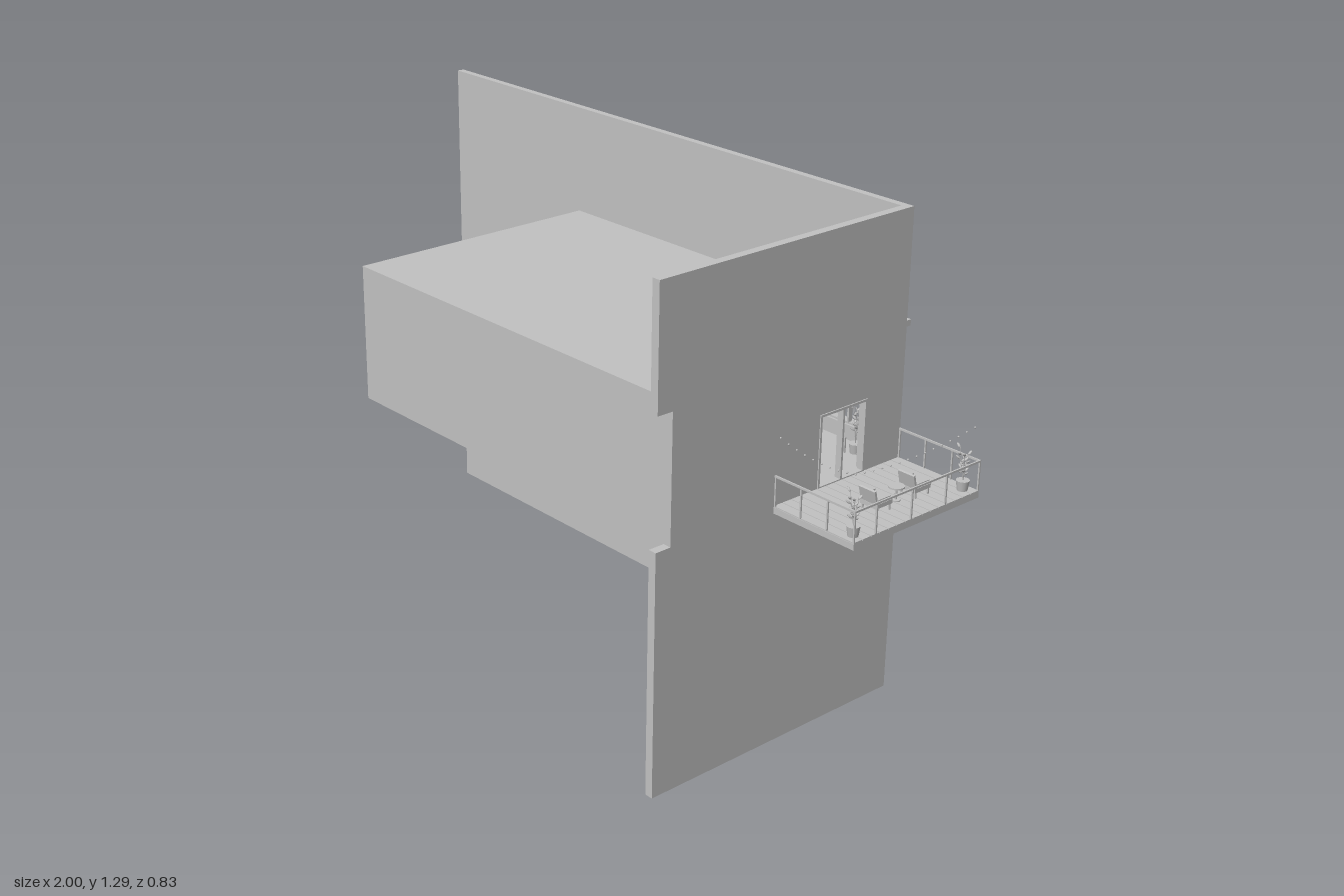
import * as THREE from 'three';

const gray = new THREE.MeshStandardMaterial({ color: 0xc0c0c0 });
gray.name = 'plain gray';

function add(parent, name, geometry, x = 0, y = 0, z = 0) {
  const mesh = new THREE.Mesh(geometry, gray);
  mesh.name = name;
  mesh.position.set(x, y, z);
  parent.add(mesh);
  return mesh;
}

// Box given by its limits on each axis
function block(parent, name, x0, x1, y0, y1, z0, z1) {
  return add(parent, name, new THREE.BoxGeometry(x1 - x0, y1 - y0, z1 - z0),
    (x0 + x1) / 2, (y0 + y1) / 2, (z0 + z1) / 2);
}

function group(parent, name, x = 0, y = 0, z = 0) {
  const g = new THREE.Group();
  g.name = name;
  g.position.set(x, y, z);
  parent.add(g);
  return g;
}

// Flat wall with one rectangular hole [a0, a1, y0, y1]
function wallGeometry(outline, [a0, a1, y0, y1], depth) {
  const shape = new THREE.Shape(outline.map(p => new THREE.Vector2(...p)));
  shape.holes.push(new THREE.Path([[a0, y0], [a0, y1], [a1, y1], [a1, y0]].map(p => new THREE.Vector2(...p))));
  return new THREE.ExtrudeGeometry(shape, { depth, bevelEnabled: false });
}

function chair(parent, x, y, z) {
  const g = group(parent, 'chair', x, y, z);
  block(g, 'chairSeat', -0.025, 0.025, 0.015, 0.026, -0.03, 0.026);
  for (const sx of [-1, 1]) {
    for (const sz of [-0.024, 0.02])
      add(g, 'chairLeg', new THREE.BoxGeometry(0.004, 0.015, 0.004), sx * 0.022, 0.0075, sz);
    add(g, 'chairArm', new THREE.BoxGeometry(0.004, 0.004, 0.045), sx * 0.024, 0.036, 0);
  }
  const back = add(g, 'chairBack', new THREE.BoxGeometry(0.05, 0.042, 0.006), 0, 0.042, 0.026);
  back.rotation.x = 0.25;
}

function plant(parent, x, y, z, height = 0.11) {
  const g = group(parent, 'pottedPlant', x, y, z);
  add(g, 'pot', new THREE.CylinderGeometry(0.017, 0.013, 0.026, 12), 0, 0.013, 0);
  for (let i = 0; i < 5; i++) {
    const a = i * 2.4, r = 0.006 + 0.003 * i;
    const top = new THREE.Vector3(Math.cos(a) * r, height * (0.7 + 0.07 * i), Math.sin(a) * r);
    const path = new THREE.LineCurve3(new THREE.Vector3(0, 0.024, 0), top);
    add(g, 'stem', new THREE.TubeGeometry(path, 1, 0.001, 4));
    for (let j = 0; j < 4; j++) {
      const p = path.getPoint(0.4 + j * 0.2);
      const b = a + j * 2.1;
      const leaf = add(g, 'leaf', new THREE.SphereGeometry(1, 6, 4),
        p.x + Math.cos(b) * 0.006, p.y, p.z + Math.sin(b) * 0.006);
      leaf.scale.set(0.008, 0.0025, 0.004);
      leaf.rotation.set(0, -b, 0.7);
    }
  }
}

function roundTable(parent, x, y, z, radius, height) {
  const g = group(parent, 'roundTable', x, y, z);
  add(g, 'tableTop', new THREE.CylinderGeometry(radius, radius, 0.004, 24), 0, height, 0);
  add(g, 'tablePost', new THREE.CylinderGeometry(0.003, 0.003, height, 8), 0, height / 2, 0);
  add(g, 'tableFoot', new THREE.CylinderGeometry(radius * 0.6, radius * 0.6, 0.003, 16), 0, 0.0015, 0);
}

function buildWalls(root) {
  const g = group(root, 'walls');
  // Back wall with the wide window opening
  add(g, 'backWall', wallGeometry([[-1, 0], [0.745, 0], [0.745, 1.295], [-1, 1.295]],
    [-0.386, 0.683, 0.69, 0.95], 0.02), 0, 0, -0.395);
  // Side wall with the door opening and a notch in its front edge; shape x runs along -z
  const side = add(g, 'sideWall', wallGeometry(
    [[-0.413, 0], [0.375, 0], [0.375, 1.295], [-0.413, 1.295], [-0.413, 0.98],
      [-0.368, 0.98], [-0.368, 0.647], [-0.413, 0.647]],
    [0.106, 0.267, 0.65, 0.84], 0.023), 0.722, 0, 0);
  side.rotation.y = Math.PI / 2;
  block(g, 'cornice', -1, 0.745, 0.992, 1.008, -0.409, -0.395);
  block(g, 'windowSill', -0.4, 0.7, 0.681, 0.69, -0.413, -0.385);
}

function buildWindow(root) {
  const g = group(root, 'window');
  const x0 = -0.386, x1 = 0.683, y0 = 0.69, y1 = 0.95, cols = 11, rows = 4;
  for (let i = 0; i <= cols; i++) {
    const x = x0 + (x1 - x0) * i / cols, w = i % cols ? 0.003 : 0.007;
    block(g, 'windowUpright', x - w, x + w, y0, y1, -0.392, -0.38);
  }
  for (let i = 0; i <= rows; i++) {
    const y = y0 + (y1 - y0) * i / rows, w = i % rows ? 0.002 : 0.005;
    block(g, 'windowCrossbar', x0, x1, y - w, y + w, -0.391, -0.381);
  }
}

function buildRoom(root) {
  const g = group(root, 'room');
  block(g, 'roomFloor', -0.45, 0.722, 0.63, 0.65, -0.375, 0.36);
  block(g, 'roomCeiling', -0.45, 0.722, 0.985, 1, -0.375, 0.36);
  block(g, 'roomFrontWall', -0.45, 0.722, 0.65, 0.985, 0.345, 0.36);
  block(g, 'roomEndWall', -0.45, -0.435, 0.65, 0.985, -0.375, 0.345);
  for (let i = 0; i < 4; i++)
    block(g, 'ceilingBeam', -0.2 + i * 0.23, -0.185 + i * 0.23, 0.965, 0.985, -0.375, 0.345);

  // Furniture: sofa, low table, shelves, dining set and plants
  const f = group(g, 'furniture', 0, 0.65, 0);
  block(f, 'sofaSeat', -0.4, -0.18, 0.01, 0.045, -0.1, 0);
  block(f, 'sofaBack', -0.4, -0.18, 0.045, 0.09, -0.02, 0);
  for (const x of [-0.4, -0.195]) block(f, 'sofaArm', x, x + 0.015, 0.01, 0.065, -0.1, 0);
  block(f, 'lowTable', -0.35, -0.23, 0.03, 0.036, -0.22, -0.15);
  for (const x of [-0.345, -0.24]) block(f, 'lowTableLeg', x, x + 0.005, 0, 0.03, -0.215, -0.155);
  for (let i = 0; i < 4; i++) block(f, 'shelf', 0.25, 0.5, 0.02 + i * 0.06, 0.026 + i * 0.06, 0.29, 0.345);
  for (const x of [0.25, 0.494]) block(f, 'shelfSide', x, x + 0.006, 0, 0.206, 0.29, 0.345);
  block(f, 'counter', 0.3, 0.55, 0, 0.08, 0.08, 0.14);
  roundTable(f, 0.1, 0, -0.1, 0.05, 0.07);
  chair(f, 0.1, 0, -0.02);
  plant(f, 0.66, 0, -0.33, 0.16);
  plant(f, -0.4, 0, -0.33, 0.13);
}

function buildDoor(root) {
  const g = group(root, 'balconyDoor');
  for (const z of [-0.267, -0.189, -0.112])
    block(g, 'doorUpright', 0.73, 0.748, 0.65, 0.84, z, z + 0.006);
  block(g, 'doorHead', 0.73, 0.748, 0.834, 0.84, -0.267, -0.106);
  block(g, 'doorStep', 0.722, 0.748, 0.65, 0.653, -0.267, -0.106);
  block(g, 'doorHandle', 0.746, 0.75, 0.72, 0.76, -0.195, -0.191);
}

function buildBalcony(root) {
  const g = group(root, 'balcony');
  const x0 = 0.745, x1 = 1, z0 = -0.395, z1 = 0.04;
  block(g, 'balconySlab', x0, x1, 0.63, 0.646, z0, z1);
  const boards = 15, step = (z1 - z0) / boards;
  for (let i = 0; i < boards; i++)
    block(g, 'deckBoard', x0, x1, 0.646, 0.649, z0 + i * step + 0.001, z0 + (i + 1) * step - 0.001);

  // Railing on three sides
  const rail = group(g, 'railing');
  const post = (x, z) => block(rail, 'railPost', x - 0.002, x + 0.002, 0.648, 0.725, z - 0.002, z + 0.002);
  for (const z of [-0.393, -0.275, -0.155, -0.035, 0.038]) post(0.998, z);
  for (const z of [-0.393, 0.038]) {
    for (const x of [0.748, 0.83, 0.914]) post(x, z);
    block(rail, 'sideTopRail', x0, x1, 0.723, 0.728, z - 0.002, z + 0.002);
  }
  block(rail, 'frontTopRail', 0.996, 1, 0.723, 0.728, z0, z1);

  chair(g, 0.91, 0.649, -0.13);
  chair(g, 0.91, 0.649, -0.265);
  roundTable(g, 0.908, 0.649, -0.203, 0.02, 0.036);
  plant(g, 0.972, 0.649, -0.367);
  plant(g, 0.972, 0.649, 0.013);

  // Two sagging runs of small bulbs
  const lights = group(g, 'stringLights');
  const corner = new THREE.Vector3(0.986, 0.812, 0.03);
  const runs = [[new THREE.Vector3(0.75, 0.822, 0.03), corner, 9], [corner, new THREE.Vector3(0.986, 0.812, -0.38), 14]];
  for (const [a, b, n] of runs) {
    const mid = a.clone().lerp(b, 0.5);
    mid.y -= 0.03;
    const curve = new THREE.QuadraticBezierCurve3(a, mid, b);
    for (let i = 0; i <= n; i++) {
      const p = curve.getPoint(i / n);
      add(lights, 'bulb', new THREE.SphereGeometry(0.0025, 8, 6), p.x, p.y, p.z);
    }
  }
}

export function createModel() {
  const root = new THREE.Group();
  root.name = 'apartment';
  [buildWalls, buildWindow, buildRoom, buildDoor, buildBalcony].forEach(build => build(root));
  return root;
}
